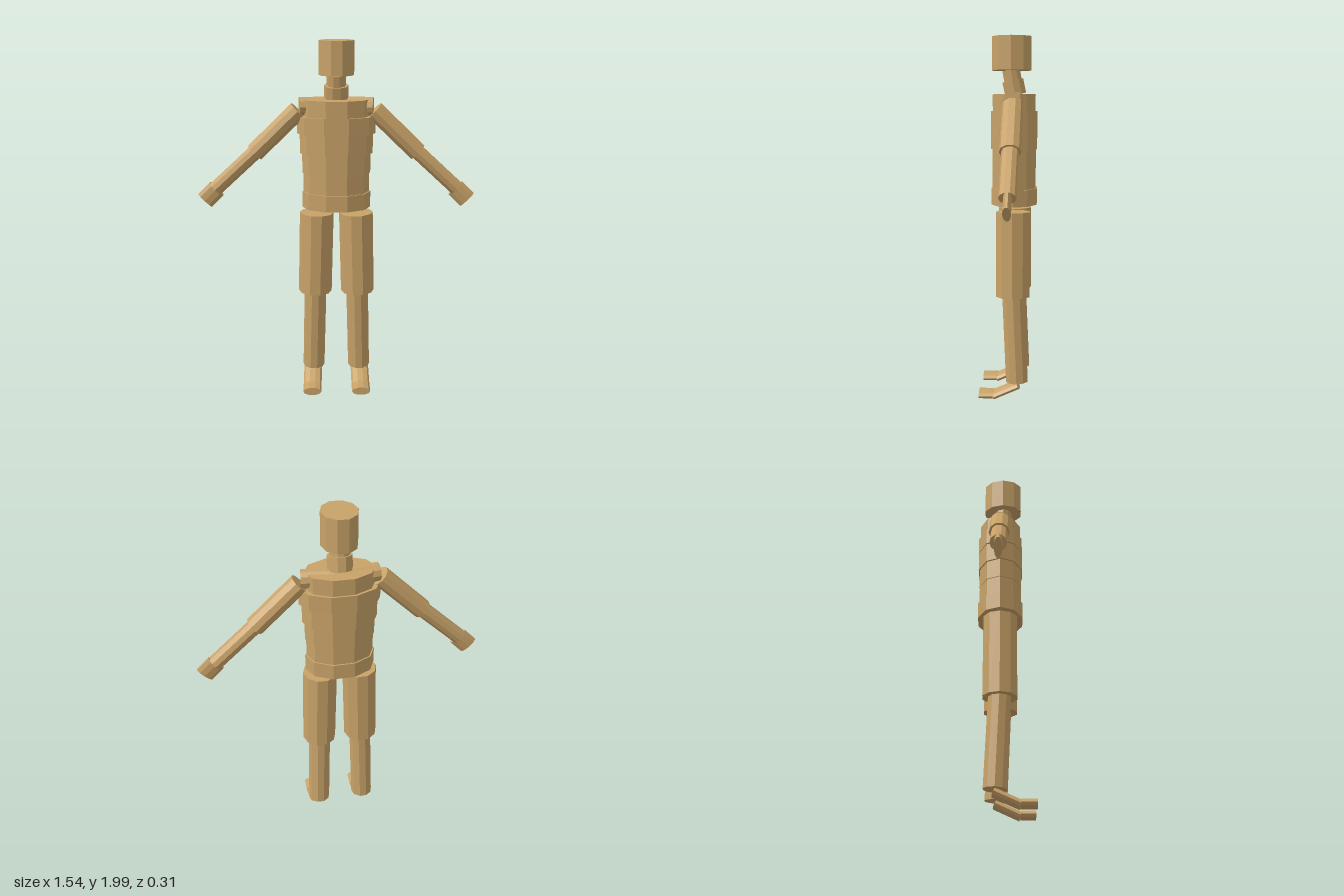
import * as THREE from 'three';

export function createModel() {
  const model = new THREE.Group();
  model.name = 'jointedMannequin';
  const wood = new THREE.MeshStandardMaterial({ color: 0xc8a268 });
  wood.name = 'tan wood';
  wood.flatShading = true;

  const X = new THREE.Vector3(1, 0, 0);
  const Z = new THREE.Vector3(0, 0, 1);

  // Ten-sided elliptical prism from a to b; ru is the radius along the hint
  // axis (where a corner lies), rv the radius across it.
  function segment(name, a, b, ru, rv, hint = X) {
    const start = new THREE.Vector3(...a);
    const end = new THREE.Vector3(...b);
    const y = end.clone().sub(start);
    const length = y.length();
    y.normalize();
    const x = hint.clone().addScaledVector(y, -hint.dot(y)).normalize();
    const z = x.clone().cross(y);
    const geometry = new THREE.CylinderGeometry(1, 1, length, 10);
    geometry.rotateY(Math.PI / 10);
    geometry.scale(ru, 1, rv);
    geometry.applyMatrix4(new THREE.Matrix4().makeBasis(x, y, z));
    const mesh = new THREE.Mesh(geometry, wood);
    mesh.name = name;
    mesh.position.copy(start).add(end).multiplyScalar(0.5);
    model.add(mesh);
  }

  // Head and two tilted neck blocks
  segment('head', [0, 1.82, -0.016], [0, 2, -0.016], 0.095, 0.112);
  segment('upperNeck', [0, 1.755, -0.025], [0, 1.823, -0.012], 0.052, 0.05);
  segment('lowerNeck', [0, 1.69, -0.038], [0, 1.765, -0.022], 0.066, 0.06);

  // Stacked torso bands: name, bottom, top, half width, depth radius
  const bands = [
    ['pelvis', 1.09, 1.18, 0.19, 0.131],
    ['lowerAbdomen', 1.18, 1.285, 0.182, 0.123],
    ['upperAbdomen', 1.285, 1.395, 0.188, 0.124],
    ['lowerChest', 1.395, 1.505, 0.2, 0.131],
    ['upperChest', 1.505, 1.6, 0.214, 0.131],
    ['shoulderBand', 1.6, 1.69, 0.185, 0.121],
  ];
  for (const [name, y0, y1, rx, rz] of bands) {
    segment(name, [0, y0, -0.031], [0, y1, -0.031], rx, rz);
  }

  // Limbs, mirrored left and right
  for (const [side, s] of [['left', 1], ['right', -1]]) {
    segment(side + 'Collar', [s * 0.04, 1.652, -0.05], [s * 0.2, 1.652, -0.028], 0.05, 0.05, Z);
    segment(side + 'UpperArm', [s * 0.208, 1.63, -0.032], [s * 0.447, 1.4, -0.032], 0.056, 0.053, Z);
    segment(side + 'Forearm', [s * 0.44, 1.407, -0.032], [s * 0.67, 1.196, -0.032], 0.044, 0.042, Z);
    segment(side + 'Hand', [s * 0.665, 1.196, -0.032], [s * 0.733, 1.128, -0.032], 0.021, 0.054, Z);
    segment(side + 'Thigh', [s * 0.11, 0.59, -0.03].map((v, i) => (i ? v : s * 0.122)),
      [s * 0.11, 1.058, -0.03], 0.095, 0.096);
    segment(side + 'Shin', [s * 0.134, 0.105, -0.053], [s * 0.121, 0.592, -0.032], 0.063, 0.063);
    segment(side + 'Foot', [s * 0.139, 0.088, -0.06], [s * 0.141, 0.026, 0.078], 0.053, 0.024);
    segment(side + 'Toe', [s * 0.141, 0.032, 0.075], [s * 0.141, 0.032, 0.157], 0.053, 0.024);
  }

  return model;
}
